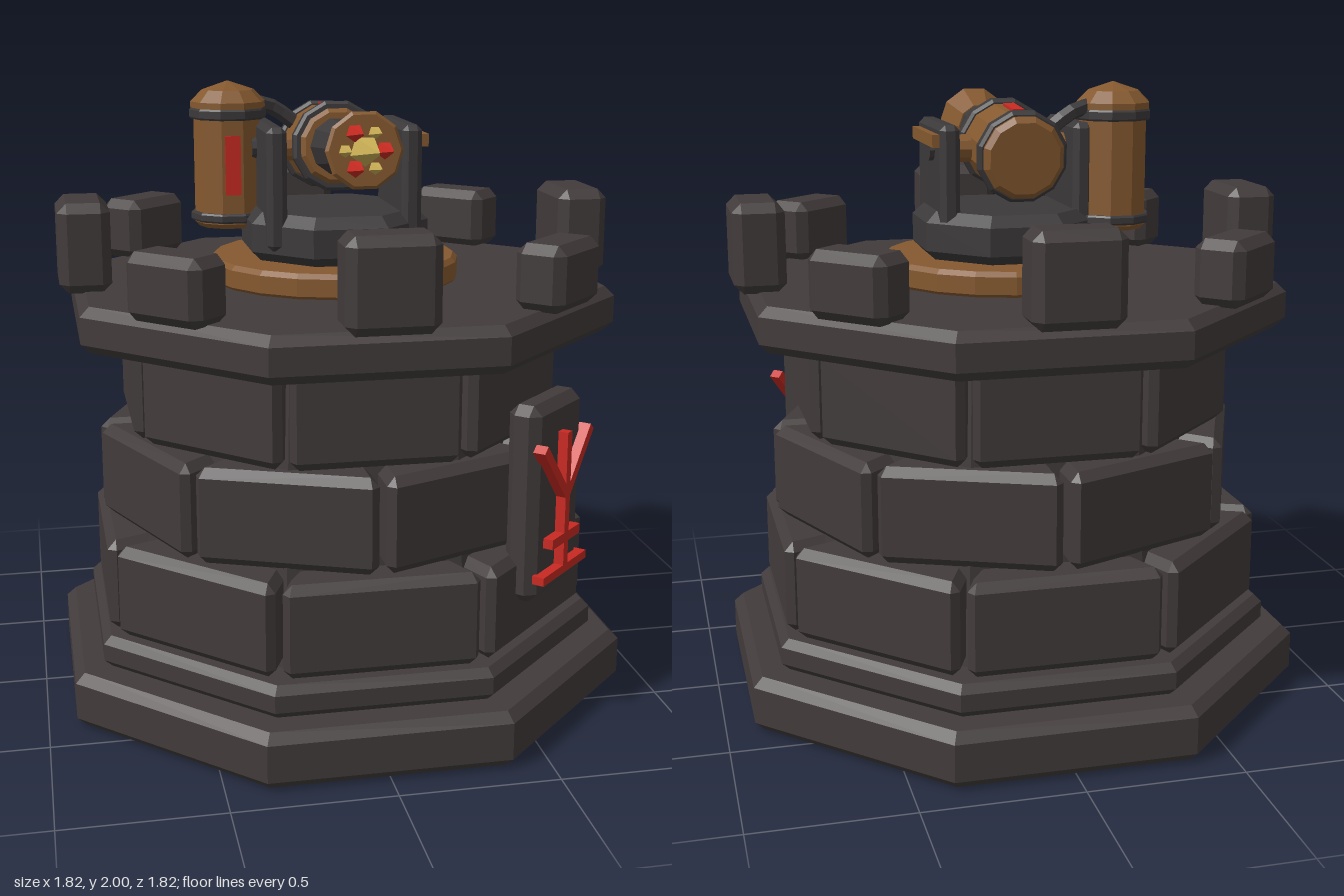
import * as THREE from 'three';
import { ConvexGeometry } from 'three/addons/geometries/ConvexGeometry.js';

const mat = (name, color) => {
  const m = new THREE.MeshStandardMaterial({ color });
  m.name = name;
  return m;
};

// faceted normals for a low-poly look
function faceted(geo) {
  const g = geo.index ? geo.toNonIndexed() : geo;
  g.computeVertexNormals();
  return g;
}

// closed faceted solid turned from [radius, height] pairs, bottom to top
function turned(profile, sides, phi = 0) {
  const pts = [[0, profile[0][1]], ...profile, [0, profile[profile.length - 1][1]]];
  return faceted(new THREE.LatheGeometry(pts.map(([r, y]) => new THREE.Vector2(r, y)), sides, phi));
}

// bevelled slab given by its apothem (distance to the flats)
function slab(apothem, y0, y1, bevel, sides) {
  const k = 1 / Math.cos(Math.PI / sides), r = apothem * k, s = (apothem - bevel) * k;
  return turned([[s, y0], [r, y0 + bevel], [r, y1 - bevel], [s, y1]], sides, Math.PI / sides);
}

// box with chamfered edges; taper widens it towards +z
function chamferBox(w, h, d, c, taper = 0) {
  const pts = [];
  for (const sx of [-1, 1]) for (const sy of [-1, 1]) for (const sz of [-1, 1])
    for (let full = 0; full < 3; full++) {
      const z = sz * (d / 2 - (full === 2 ? 0 : c));
      const x = sx * (w / 2 - (full === 0 ? 0 : c) + taper * z);
      pts.push(new THREE.Vector3(x, sy * (h / 2 - (full === 1 ? 0 : c)), z));
    }
  return new ConvexGeometry(pts);
}

export function createModel() {
  const stone = mat('dark stone', 0x423b3b);
  const metal = mat('dark metal', 0x3c393a);
  const bronze = mat('bronze', 0x85592f);
  const red = mat('red', 0xc92a22);
  const yellow = mat('flame yellow', 0xc9ae55);

  const model = new THREE.Group();
  model.name = 'cannonTower';
  const add = (parent, name, geo, material, x = 0, y = 0, z = 0) => {
    const m = new THREE.Mesh(geo, material);
    m.name = name;
    m.position.set(x, y, z);
    parent.add(m);
    return m;
  };
  const group = (parent, name, x = 0, y = 0, z = 0) => {
    const g = new THREE.Group();
    g.name = name;
    g.position.set(x, y, z);
    parent.add(g);
    return g;
  };

  // octagonal plinth, core and deck
  add(model, 'plinth', slab(0.91, 0, 0.18, 0.03, 8), stone);
  add(model, 'plinthStep', slab(0.815, 0.18, 0.285, 0.025, 8), stone);
  add(model, 'core', turned([[0.74, 0.25], [0.66, 1.25]], 8, Math.PI / 8), stone);
  add(model, 'deck', slab(0.85, 1.22, 1.365, 0.03, 8), stone);

  // three courses of mitred blocks, the middle one offset by half a block
  const tan = Math.tan(Math.PI / 8);
  [[0.79, 0.29, 0.59, 0], [0.735, 0.6, 0.905, 0.5], [0.69, 0.91, 1.215, 0]].forEach(([a, y0, y1, shift], n) => {
    const course = group(model, 'course' + (n + 1));
    const depth = 0.18, mid = a - depth / 2;
    const geo = chamferBox(2 * (mid * tan - 0.012), y1 - y0, depth, 0.028, tan);
    geo.translate(0, (y0 + y1) / 2, mid);
    for (let i = 0; i < 8; i++) add(course, 'block', geo, stone).rotation.y = (i + shift) * Math.PI / 4;
  });

  // battlements, tall on the axes and short on the diagonals
  const battlements = group(model, 'battlements');
  for (let i = 0; i < 8; i++) {
    const h = i % 2 ? 0.205 : 0.285;
    const geo = chamferBox(0.28, h, 0.165, 0.03);
    geo.translate(0, 1.36 + h / 2, 0.817);
    add(battlements, 'merlon', geo, stone).rotation.y = i * Math.PI / 4;
  }

  // wall plaque with a branching ornament
  const plaque = group(model, 'plaque');
  plaque.rotation.y = Math.PI / 4;
  add(plaque, 'plaqueSlab', chamferBox(0.32, 0.635, 0.11, 0.03), stone, 0, 0.755, 0.792);
  const stroke = (x0, y0, x1, y1, t) => {
    const geo = new THREE.BoxGeometry(Math.hypot(x1 - x0, y1 - y0), t, 0.04);
    add(plaque, 'plaqueOrnament', geo, red, (x0 + x1) / 2, (y0 + y1) / 2, 0.86)
      .rotation.z = Math.atan2(y1 - y0, x1 - x0);
  };
  stroke(0, 0.52, 0, 0.97, 0.03);
  stroke(-0.15, 0.522, 0.15, 0.522, 0.027);
  stroke(-0.095, 0.627, 0.095, 0.627, 0.032);
  for (const s of [-1, 1]) stroke(0, 0.765, s * 0.16, 0.95, 0.03);

  // turntable and gun mount
  add(model, 'turntable', slab(0.405, 1.36, 1.445, 0.015, 20), bronze);
  add(model, 'pedestal', slab(0.288, 1.44, 1.6, 0.035, 8), metal);
  for (const s of [-1, 1]) {
    add(model, 'bracket', chamferBox(0.065, 0.39, 0.37, 0.018), metal, s * 0.217, 1.68, 0.017);
    const axle = new THREE.CylinderGeometry(0.045, 0.045, 0.1, 10).rotateZ(Math.PI / 2);
    add(model, 'axle', faceted(axle), bronze, s * 0.155, 1.79, -0.03);
    const bolt = new THREE.CylinderGeometry(0.036, 0.036, 0.02, 10).rotateZ(Math.PI / 2);
    add(model, 'axleBolt', faceted(bolt), metal, s * 0.255, 1.79, -0.04);
  }
  add(model, 'bracketTrim', new THREE.BoxGeometry(0.025, 0.04, 0.33), bronze, 0.26, 1.825, 0.015);

  // gun, tilted slightly upwards; profiles run along its axis
  const gun = group(model, 'gun', 0, 1.795, 0);
  gun.rotation.x = -0.077;
  const along = (name, material, profile, sides) =>
    add(gun, name, turned(profile, sides, Math.PI / sides).rotateX(Math.PI / 2), material);
  along('gunBody', bronze, [[0.115, -0.262], [0.132, -0.245], [0.132, 0.06], [0.11, 0.085]], 12);
  for (const z of [-0.235, 0.025])
    along('gunBand', metal, [[0.137, z], [0.147, z + 0.008], [0.147, z + 0.037], [0.137, z + 0.045]], 12);
  along('barrel', metal, [[0.092, 0.06], [0.092, 0.1], [0.07, 0.38]], 10);
  along('muzzle', bronze, [[0.075, 0.37], [0.12, 0.475], [0.11, 0.485]], 10);
  add(gun, 'gunStripe', new THREE.BoxGeometry(0.036, 0.009, 0.13), red, 0, 0.135, -0.095);

  // flame: one long spike ringed by small red and yellow ones
  const spike = (name, material, r, len, x, y) =>
    add(gun, name, faceted(new THREE.ConeGeometry(r, len, 5)).rotateX(Math.PI / 2), material, x, y, 0.475 + len / 2);
  spike('flameCore', yellow, 0.05, 0.21, 0, 0);
  for (let i = 0; i < 6; i++) {
    const a = i * Math.PI / 3, outer = i % 2 === 0;
    spike('flameTongue', outer ? red : yellow, outer ? 0.03 : 0.022, outer ? 0.13 : 0.11,
      0.06 * Math.cos(a), 0.06 * Math.sin(a));
  }

  // fuel tank with bands, cap, red gauge and feed pipe
  const tank = group(model, 'tank', -0.33, 0, -0.105);
  add(tank, 'tankBody', turned([[0.1, 1.53], [0.113, 1.545], [0.113, 1.93]], 10, Math.PI / 10), bronze);
  for (const [y, h] of [[1.55, 0.03], [1.88, 0.035]])
    add(tank, 'tankBand', turned([[0.122, y], [0.126, y + 0.006], [0.126, y + h - 0.006], [0.122, y + h]], 10, Math.PI / 10), metal);
  add(tank, 'tankCap', turned([[0.122, 1.915], [0.122, 1.935], [0.085, 1.972], [0.001, 2.0]], 10, Math.PI / 10), bronze);
  add(tank, 'tankGauge', new THREE.BoxGeometry(0.05, 0.19, 0.009), red, 0, 1.737, 0.111);
  const path = new THREE.CatmullRomCurve3([
    new THREE.Vector3(-0.25, 1.925, -0.13),
    new THREE.Vector3(-0.18, 1.91, -0.16),
    new THREE.Vector3(-0.08, 1.84, -0.17),
  ]);
  add(model, 'feedPipe', faceted(new THREE.TubeGeometry(path, 5, 0.026, 6)), metal);

  return model;
}
